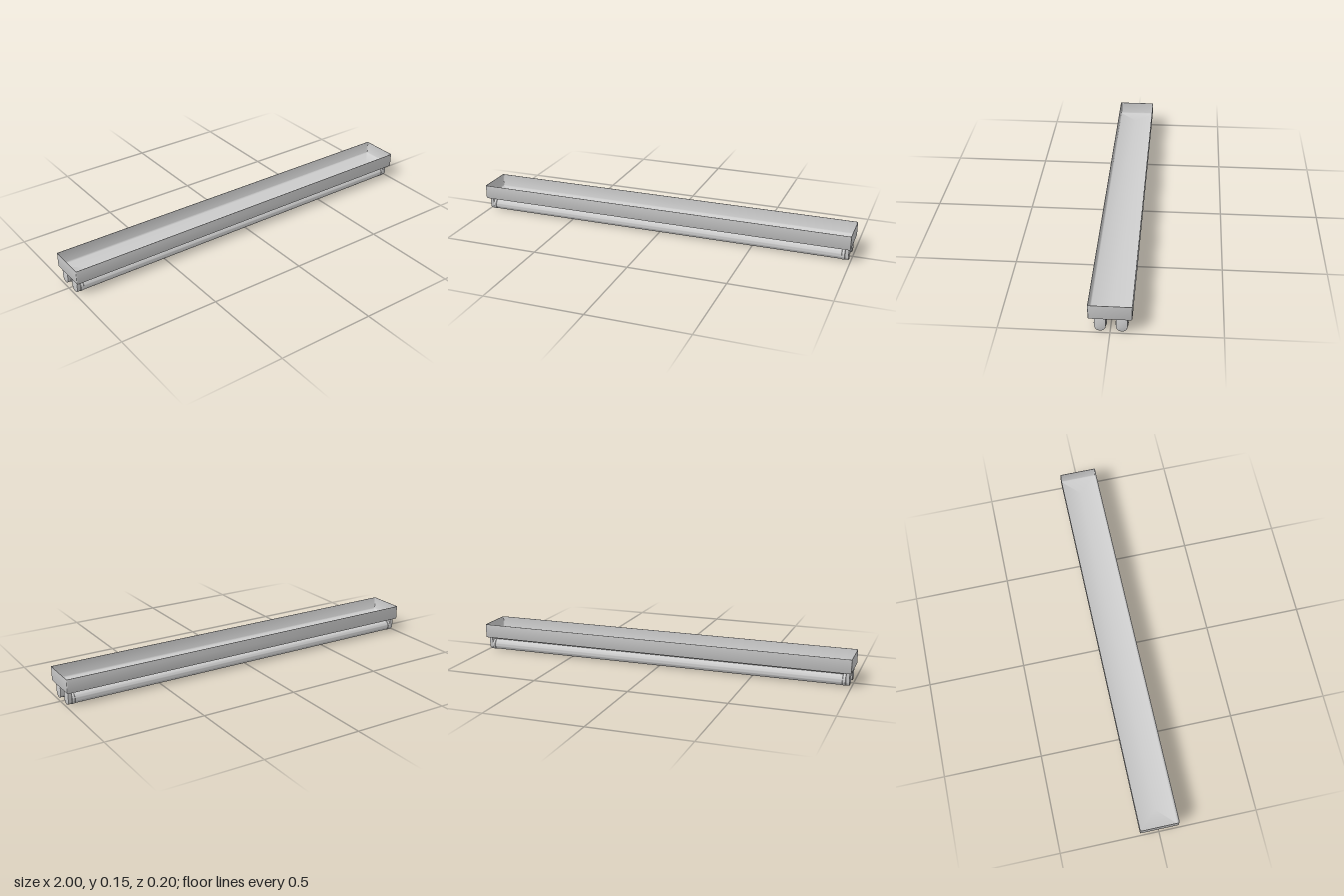
import * as THREE from 'three';
import { toCreasedNormals } from 'three/addons/utils/BufferGeometryUtils.js';

const grey = new THREE.MeshStandardMaterial({ color: 0xcccccc, side: THREE.DoubleSide });

function addMesh(parent, name, geometry, x = 0, y = 0, z = 0) {
  const mesh = new THREE.Mesh(geometry, grey);
  mesh.name = name;
  mesh.position.set(x, y, z);
  parent.add(mesh);
  return mesh;
}

// Open tray: rounded rectangles stacked from the inner floor, over the rim, to the underside
function trayGeometry() {
  const halfX = 1, halfZ = 0.098, segs = 3, perRing = 4 * (segs + 1);
  const rings = [ // inset, height
    [0.098, 0.075], [0.008, 0.075], [0.004, 0.078], [0.002, 0.082], [0.002, 0.146],
    [0, 0.146], [0, 0.077], [0.0015, 0.0735], [0.005, 0.072], [0.098, 0.072],
  ];
  const positions = [], indices = [];
  rings.forEach(([inset, y], k) => {
    const hx = halfX - inset, hz = halfZ - inset, r = Math.min(0.005, hz);
    for (let c = 0; c < 4; c++) {
      const sx = c === 0 || c === 3 ? 1 : -1, sz = c < 2 ? 1 : -1;
      for (let i = 0; i <= segs; i++) {
        const a = (c + i / segs) * Math.PI / 2;
        positions.push(sx * (hx - r) + r * Math.cos(a), y, sz * (hz - r) + r * Math.sin(a));
      }
    }
    if (k === 0) return;
    for (let i = 0; i < perRing; i++) {
      const j = (i + 1) % perRing, a = (k - 1) * perRing, b = k * perRing;
      indices.push(a + i, a + j, b + i, a + j, b + j, b + i);
    }
  });
  const g = new THREE.BufferGeometry();
  g.setAttribute('position', new THREE.Float32BufferAttribute(positions, 3));
  g.setIndex(indices);
  // Make sure the underside faces down
  const p = new THREE.Vector3(...positions.slice(-perRing * 6, -perRing * 6 + 3));
  const q = new THREE.Vector3(...positions.slice(-perRing * 6 + 3, -perRing * 6 + 6));
  const s = new THREE.Vector3(...positions.slice(-perRing * 3, -perRing * 3 + 3));
  if (q.sub(p).cross(s.sub(p)).y > 0) g.setIndex(indices.reverse());
  return toCreasedNormals(g, 0.7);
}

// Lamp holder: plate with a round lower end, extruded along x
function holderGeometry() {
  const w = 0.0235, bevel = 0.002, depth = 0.014;
  const shape = new THREE.Shape();
  shape.moveTo(w, 0.041);
  shape.lineTo(-w, 0.041);
  shape.lineTo(-w, -0.002);
  shape.absarc(0, -0.002, w, Math.PI, 2 * Math.PI, false);
  shape.closePath();
  const g = new THREE.ExtrudeGeometry(shape, {
    depth, bevelEnabled: true, bevelSize: bevel, bevelThickness: bevel, bevelSegments: 2, curveSegments: 24,
  });
  g.translate(0, 0, -depth / 2);
  g.rotateY(Math.PI / 2);
  return toCreasedNormals(g, 0.6);
}

// Glass tube with metal end caps, turned around x
function lampGeometry() {
  const half = [[0, 0.972], [0.027, 0.972], [0.029, 0.97], [0.029, 0.957], [0.0275, 0.955]];
  const profile = [...half.map(([r, x]) => [r, -x]), ...half.slice().reverse()];
  const g = new THREE.LatheGeometry(profile.map(([r, x]) => new THREE.Vector2(r, x)), 32);
  g.rotateZ(-Math.PI / 2);
  return toCreasedNormals(g, 0.5);
}

export function createModel() {
  const model = new THREE.Group();
  model.name = 'twinTubeLight';
  addMesh(model, 'tray', trayGeometry());

  const holder = holderGeometry(), lamp = lampGeometry();
  const axisY = 0.029;
  for (const [side, z] of [['front', 0.045], ['back', -0.051]]) {
    const unit = new THREE.Group();
    unit.name = side + 'LampUnit';
    unit.position.set(0, axisY, z);
    model.add(unit);
    addMesh(unit, 'lamp', lamp);
    // Mounting strip between tray and lamp
    addMesh(unit, 'mountingStrip', new THREE.BoxGeometry(1.92, 0.009, 0.044), 0, 0.039, 0);
    for (const s of [1, -1]) {
      addMesh(unit, s > 0 ? 'leftHolder' : 'rightHolder', holder, s * 0.981, 0, 0);
      // Contact pins joining lamp and holder
      for (const dz of [-0.008, 0.008]) {
        const pin = new THREE.CylinderGeometry(0.0025, 0.0025, 0.012, 8);
        pin.rotateZ(Math.PI / 2);
        addMesh(unit, 'contactPin', pin, s * 0.974, 0, dz);
      }
    }
  }
  return model;
}
